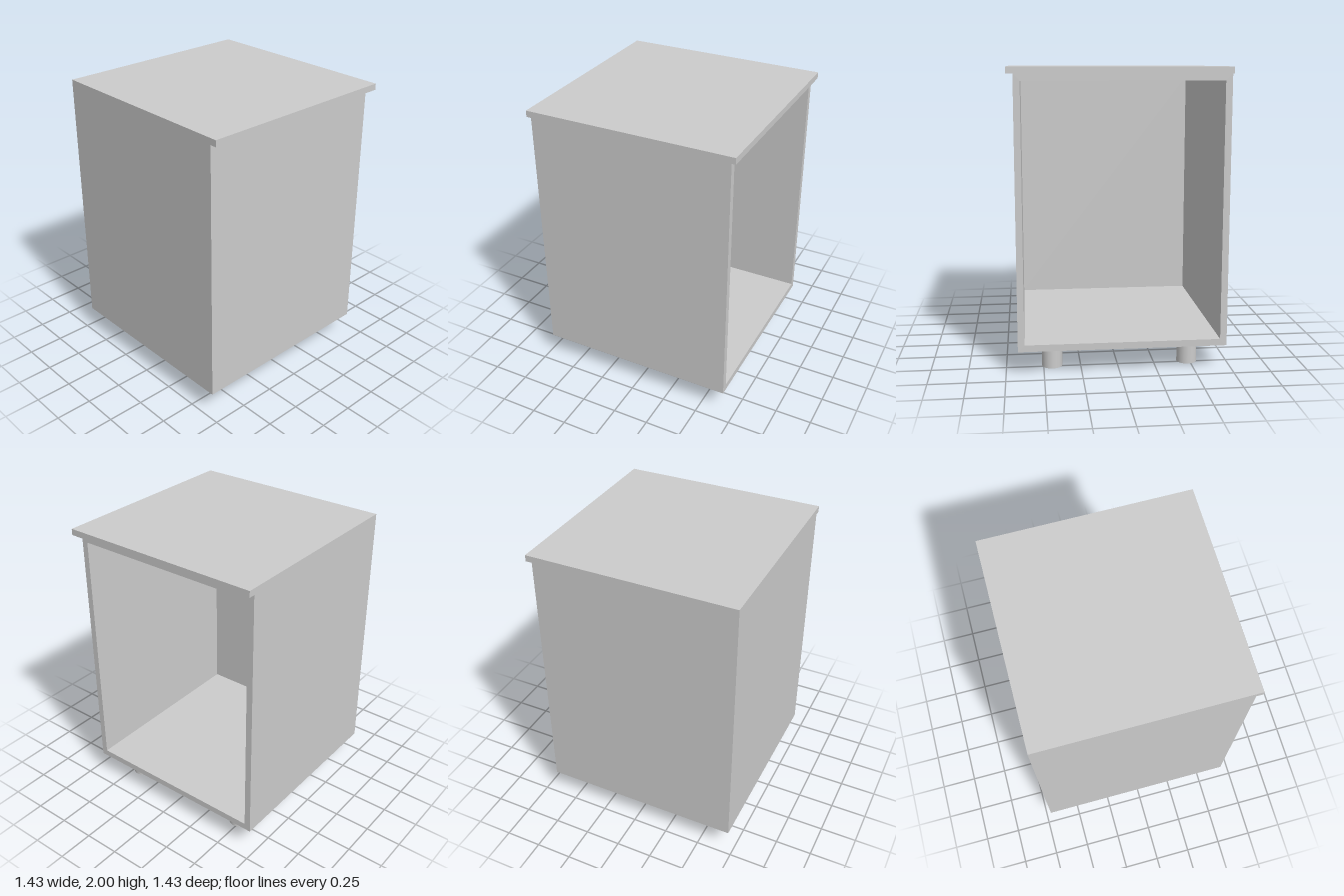
import * as THREE from 'three';

const grey = new THREE.MeshStandardMaterial({ color: 0xcccccc });
grey.name = 'light grey';
// The legs are open tubes, so their inner faces show as well
const greyTube = grey;
greyTube.side = THREE.DoubleSide;

// Rectangle in the yz plane at x, counter-clockwise as seen from +x
function rectLoop(x, z0, z1, y0, y1) {
  return [[x, y0, z1], [x, y0, z0], [x, y1, z0], [x, y1, z1]];
}

// Skins successive rectangular loops and closes both ends
function skinLoops(loops) {
  const positions = [];
  const quad = (a, b, c, d) => positions.push(...a, ...b, ...c, ...a, ...c, ...d);
  for (let k = 0; k + 1 < loops.length; k++) {
    for (let i = 0; i < 4; i++) {
      const j = (i + 1) % 4;
      quad(loops[k][i], loops[k][j], loops[k + 1][j], loops[k + 1][i]);
    }
  }
  quad(...[...loops[0]].reverse());
  quad(...loops[loops.length - 1]);
  const geometry = new THREE.BufferGeometry();
  geometry.setAttribute('position', new THREE.Float32BufferAttribute(positions, 3));
  geometry.computeVertexNormals();
  return geometry;
}

export function createModel() {
  const model = new THREE.Group();
  model.name = 'cabinet';

  const add = (name, geometry, x = 0, y = 0, z = 0) => {
    const mesh = new THREE.Mesh(geometry, grey);
    mesh.name = name;
    mesh.position.set(x, y, z);
    model.add(mesh);
  };

  // Hollow body, open on the +x side
  add('cabinetBody', skinLoops([
    rectLoop(-0.714, -0.714, 0.67, 0.165, 1.957),
    rectLoop(0.67, -0.714, 0.67, 0.165, 1.957),
    rectLoop(0.67, -0.67, 0.627, 0.21, 1.912),
    rectLoop(-0.67, -0.67, 0.627, 0.21, 1.912),
  ]));

  // Top slab, overhanging on +x and +z
  add('topSlab', new THREE.BoxGeometry(1.428, 0.043, 1.428), 0, 1.9785, 0);

  // Four short tubular legs
  const legGeometry = new THREE.CylinderGeometry(0.069, 0.069, 0.165, 16, 1, true);
  for (const x of [-0.488, 0.48]) {
    for (const z of [-0.48, 0.442]) add('leg', legGeometry, x, 0.0825, z);
  }

  return model;
}
